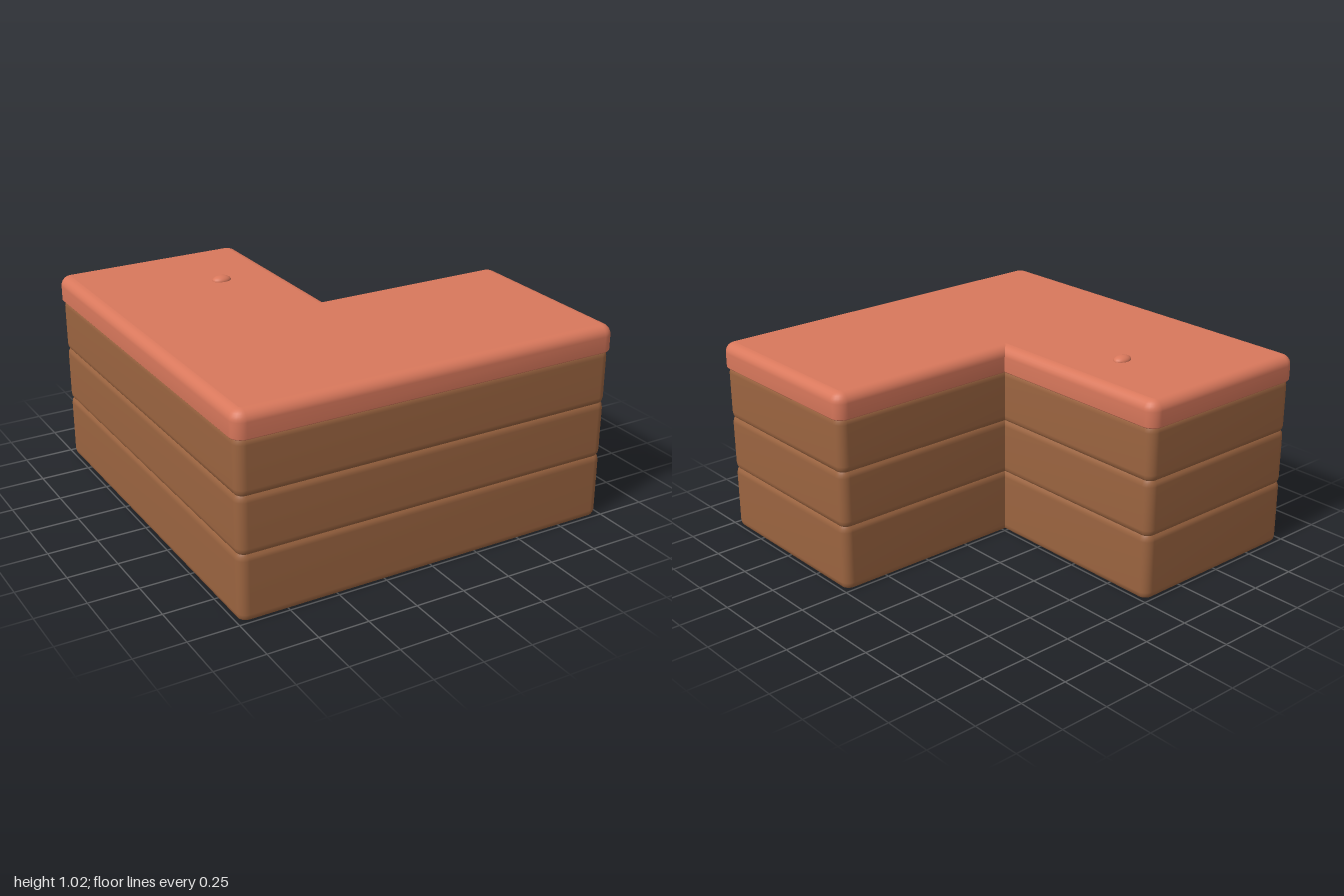
import * as THREE from 'three';

const CORNER = 0.06;
// Convex corners in path order: x, z, start angle of the outward normal
const CORNERS = [
  [0, -1, 0],
  [-1, -1, -Math.PI / 2],
  [-1, 1, -Math.PI],
  [1, 1, -Math.PI * 1.5],
  [1, 0, -Math.PI * 2],
];

// L-shaped outline moved inwards by d; starts and ends at the sharp inner corner
function outline(d) {
  const points = [[-d, d]];
  for (const [x, z, start] of CORNERS) {
    const cx = x - CORNER * (x === -1 ? -1 : 1);
    const cz = z - CORNER * (z === 1 ? 1 : -1);
    for (let i = 0; i <= 6; i++) {
      const a = start - (i / 6) * Math.PI / 2;
      points.push([cx + Math.cos(a) * (CORNER - d), cz + Math.sin(a) * (CORNER - d)]);
    }
  }
  points.push([-d, d]);
  return points;
}

// Skin through outlines stacked along a profile of [inset, height]
function band(profile) {
  const positions = [];
  const index = [];
  const n = outline(0).length;
  profile.forEach(([d, y], j) => {
    outline(d).forEach(([x, z], i) => {
      positions.push(x, y, z);
      if (j < profile.length - 1 && i < n - 1) {
        const a = j * n + i;
        index.push(a, a + 1, a + n + 1, a, a + n + 1, a + n);
      }
    });
  });
  const geometry = new THREE.BufferGeometry();
  geometry.setAttribute('position', new THREE.Float32BufferAttribute(positions, 3));
  geometry.setIndex(index);
  geometry.computeVertexNormals();
  return geometry;
}

export function createModel() {
  const model = new THREE.Group();
  model.name = 'cornerCounter';
  const wood = new THREE.MeshStandardMaterial({ color: 0x9b6440, side: THREE.DoubleSide });
  wood.name = 'brown wood';
  const clay = new THREE.MeshStandardMaterial({ color: 0xd9785c, side: THREE.DoubleSide });
  clay.name = 'terracotta';

  const add = (name, geometry, material) => {
    const mesh = new THREE.Mesh(geometry, material);
    mesh.name = name;
    model.add(mesh);
    return mesh;
  };

  // Three hollow courses of boards with softened edges
  const levels = [0, 0.325, 0.605, 0.872];
  for (let i = 0; i < 3; i++) {
    const lo = levels[i], hi = levels[i + 1];
    add(`board${i + 1}`, band([
      [0.022, lo], [0.014, lo + 0.012], [0.011, lo + 0.03],
      [0.011, hi - 0.03], [0.014, hi - 0.012], [0.022, hi],
    ]), wood);
  }

  // Worktop edge: small lip below, rounded shoulder above
  const profile = [[0.024, 0.87], [0.005, 0.87], [0, 0.876]];
  const round = 0.05;
  for (let i = 0; i <= 6; i++) {
    const a = (i / 6) * Math.PI / 2;
    profile.push([round * (1 - Math.cos(a)), 1 - round + round * Math.sin(a)]);
  }
  add('worktopEdge', band(profile), clay);

  // Flat worktop surface
  const shape = new THREE.Shape(outline(round).slice(0, -1).map(([x, z]) => new THREE.Vector2(x, -z)));
  const top = new THREE.ShapeGeometry(shape);
  top.rotateX(-Math.PI / 2);
  add('worktopSurface', top, clay).position.y = 1;

  // Small oval knob
  const knob = add('knob', new THREE.SphereGeometry(1, 24, 16), clay);
  knob.scale.set(0.05, 0.024, 0.037);
  knob.position.set(-0.31, 1, -0.5);

  return model;
}
